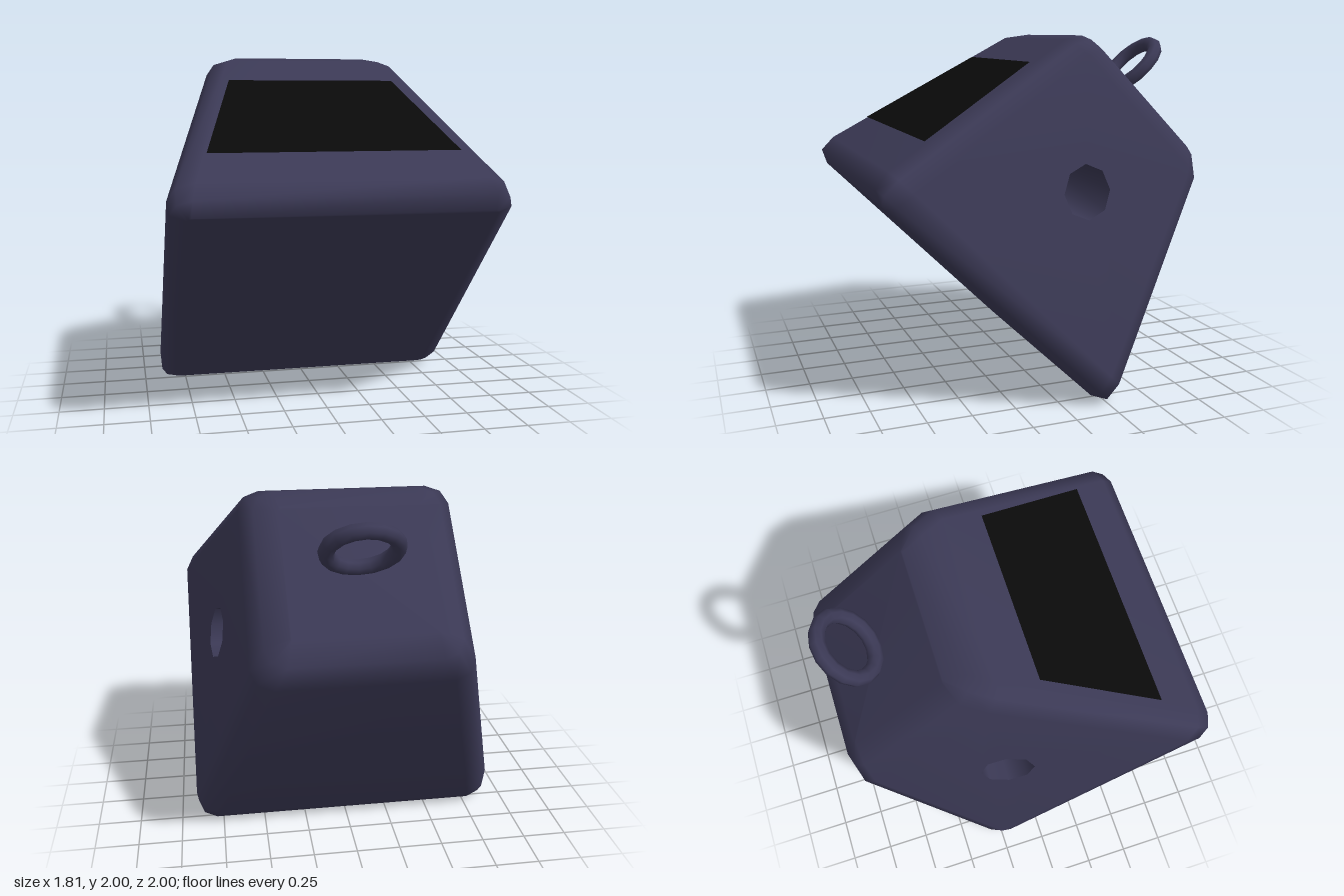
import * as THREE from 'three';
import { mergeGeometries, mergeVertices } from 'three/addons/utils/BufferGeometryUtils.js';

// Bevelled square frustum: [half width, height, corner radius] per ring
const RINGS = [
  [0.813, 0.148, 0.02], [0.898, 0.19, 0.11], [0.905, 0.297, 0.14],
  [0.587, 1.506, 0.12], [0.51, 1.612, 0.11], [0.38, 1.655, 0.01],
];
const WALL = 2; // index of the ring where the sloping walls start
const HOLE_Y = 0.948, HOLE_R = 0.15, HOLE_MID_R = 0.14;
const [LOW, HIGH] = [RINGS[WALL], RINGS[WALL + 1]];

// half width of the sloping walls at height y
const halfAt = (y) => LOW[0] + ((y - LOW[1]) / (HIGH[1] - LOW[1])) * (HIGH[0] - LOW[0]);

// twelve points of a square with rounded corners
function ringPoints([h, y, r]) {
  const pts = [];
  for (let k = 0; k < 4; k++) {
    for (const [a, b] of [[h, h - r], [h - 0.3 * r, h - 0.3 * r], [h - r, h]]) {
      let x = a, z = b;
      for (let q = 0; q < k; q++) [x, z] = [-z, x];
      pts.push(x, y, z);
    }
  }
  return pts;
}

// rings and caps, leaving the two side walls open
function shellGeometry() {
  const pos = RINGS.flatMap(ringPoints), index = [], n = 12;
  for (let j = 0; j < RINGS.length - 1; j++) {
    for (let i = 0; i < n; i++) {
      if (j === WALL && (i === 5 || i === 11)) continue;
      const a = j * n + i, b = j * n + ((i + 1) % n);
      index.push(a, a + n, b, b, a + n, b + n);
    }
  }
  const t = (RINGS.length - 1) * n;
  for (let i = 1; i < n - 1; i++) index.push(0, i, i + 1, t, t + i + 1, t + i);
  const g = new THREE.BufferGeometry();
  g.setAttribute('position', new THREE.Float32BufferAttribute(pos, 3));
  g.setIndex(index);
  return g.toNonIndexed();
}

// sloping side wall with an octagonal opening
function sideWall(side) {
  const a = LOW[0] - LOW[2], b = HIGH[0] - HIGH[2];
  const shape = new THREE.Shape([[-a, LOW[1]], [a, LOW[1]], [b, HIGH[1]], [-b, HIGH[1]]]
    .map(([x, y]) => new THREE.Vector2(x, y)));
  const hole = [];
  for (let i = 0; i < 8; i++) {
    const t = (-i * Math.PI) / 4;
    hole.push(new THREE.Vector2(HOLE_R * Math.cos(t), HOLE_Y + HOLE_R * Math.sin(t)));
  }
  shape.holes.push(new THREE.Path(hole));
  const g = new THREE.ShapeGeometry(shape).toNonIndexed();
  g.deleteAttribute('uv');
  g.deleteAttribute('normal');
  const p = g.attributes.position;
  for (let i = 0; i < p.count; i++) {
    const u = p.getX(i), y = p.getY(i);
    p.setXYZ(i, side * halfAt(y), y, -side * u);
  }
  return g;
}

// inner wall of the through hole, its ends following the slope
function boreGeometry() {
  const g = new THREE.CylinderGeometry(HOLE_R, HOLE_R, 2, 8, 2, true);
  g.rotateZ(Math.PI / 2);
  const p = g.attributes.position;
  for (let i = 0; i < p.count; i++) {
    const x = p.getX(i), mid = Math.abs(x) < 0.5, s = mid ? HOLE_MID_R / HOLE_R : 1;
    const y = HOLE_Y + p.getY(i) * s;
    p.setXYZ(i, mid ? 0 : Math.sign(x) * halfAt(y), y, p.getZ(i) * s);
  }
  g.scale(-1, 1, 1); // turn the faces inward
  g.computeVertexNormals();
  return g;
}

// flat dark panel lying just above the front wall
function panelGeometry() {
  const lo = 0.537, hi = 1.266, lift = 0.008;
  const g = new THREE.BufferGeometry();
  g.setAttribute('position', new THREE.Float32BufferAttribute([
    -0.69, lo, halfAt(lo) + lift, 0.69, lo, halfAt(lo) + lift,
    0.49, hi, halfAt(hi) + lift, -0.49, hi, halfAt(hi) + lift], 3));
  g.setIndex([0, 1, 2, 0, 2, 3]);
  g.computeVertexNormals();
  return g;
}

export function createModel() {
  const bodyMat = new THREE.MeshStandardMaterial({ color: 0x3b3955 });
  bodyMat.name = 'slate violet';
  const panelMat = new THREE.MeshStandardMaterial({ color: 0x0a0a0a });
  panelMat.name = 'black';

  const tilted = new THREE.Group();
  tilted.name = 'tiltedBlock';
  const add = (name, geometry, material) => {
    const m = new THREE.Mesh(geometry, material);
    m.name = name;
    tilted.add(m);
    return m;
  };

  const body = mergeVertices(mergeGeometries([shellGeometry(), sideWall(1), sideWall(-1)]), 1e-4);
  body.computeVertexNormals();
  add('body', body, bodyMat);
  add('throughHole', boreGeometry(), bodyMat);
  add('frontPanel', panelGeometry(), panelMat);
  add('hangingRing', new THREE.TorusGeometry(0.183, 0.043, 8, 16), bodyMat).position.y = 1.86;

  // lean the block back so it balances on its lower rear edge
  tilted.rotation.x = -Math.PI / 4;
  tilted.position.set(0, 0.5, 0.5);

  const model = new THREE.Group();
  model.name = 'model';
  model.add(tilted);
  return model;
}
